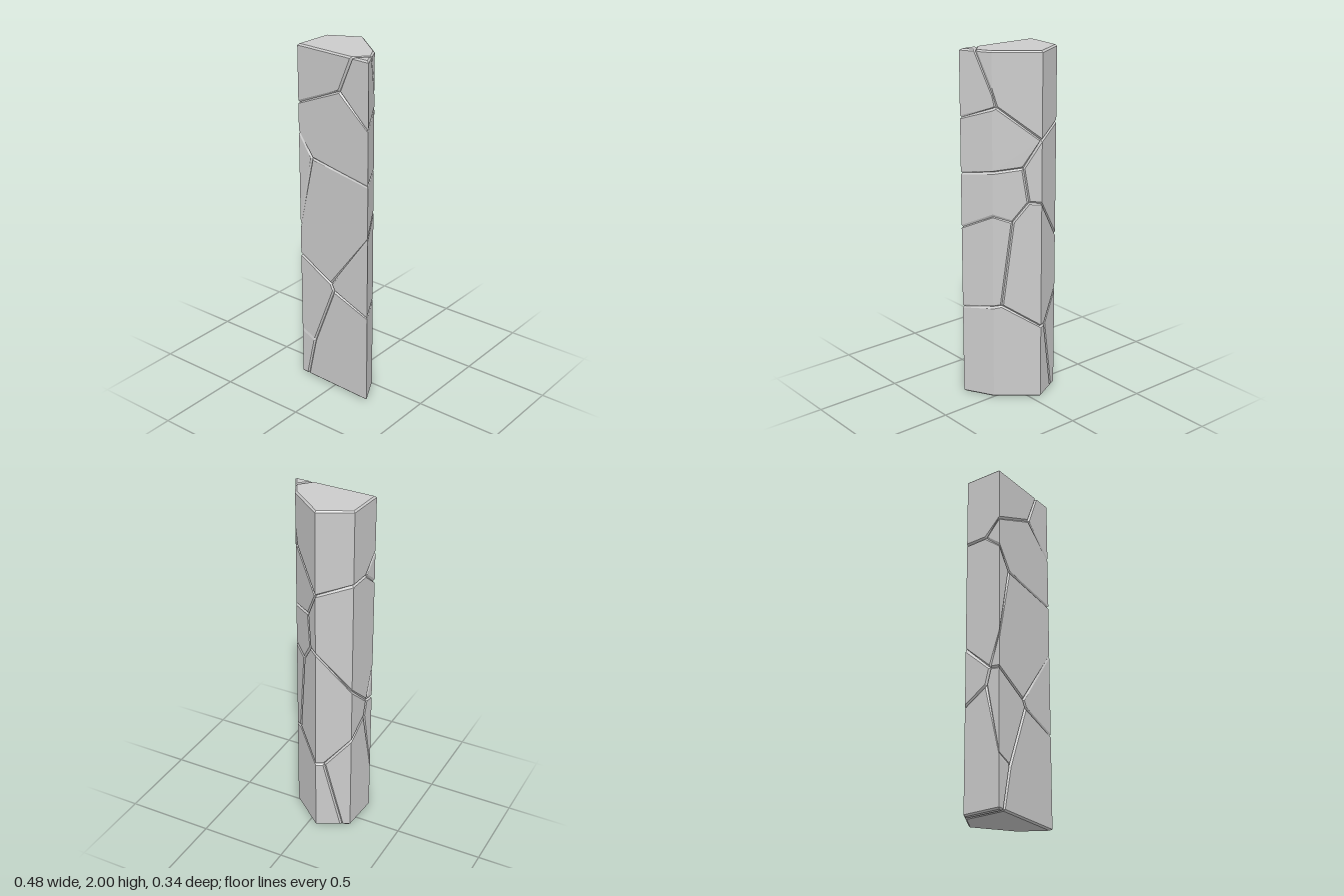
import * as THREE from 'three';
import { ConvexGeometry } from 'three/addons/geometries/ConvexGeometry.js';

const HEIGHT = 2;
const BEVEL = 0.009;

// Footprint corners (x, z) of the five-sided pillar, front-left first.
const CORNERS = [[-0.242, 0.145], [0.242, 0.165], [0.155, 0], [-0.05, -0.17], [-0.228, -0.08]];

// Crack junctions as [s, y]: s is the wall index plus the fraction along that wall.
const P = {
  // top and bottom corners
  a2: [0, 2], b2: [1, 2], c2: [2, 2], d2: [3, 2], e2: [4, 2],
  a0: [0, 0], b0: [1, 0], c0: [2, 0], d0: [3, 0], e0: [4, 0],
  // front wall
  f1: [0.769, 2], f2: [0.593, 1.8], f3: [0.19, 1.38], f4: [0.459, 0.66],
  f5: [0.5, 0.62], f6: [0.2, 0.25], f7: [0.087, 0],
  // side walls
  r1: [1.485, 2], r2: [2.08, 1.7], r3: [2.62, 1.365], r4: [2.735, 1.17], r5: [2.41, 1.06], r6: [2.18, 0.565],
  k1: [3.24, 0.44], k2: [3.76, 0],
  l1: [4.58, 1.583], l2: [4.73, 0.783], l3: [4.62, 0.69],
  // where cracks cross the upright edges
  aa: [0, 1.68], ab: [0, 1.51], ac: [0, 0.96], ad: [0, 0.775], ae: [0, 0.29],
  ba: [1, 1.63], bb: [1, 1.32], bc: [1, 1.01], bd: [1, 0.535],
  ca: [2, 1.78], cb: [2, 1.69], cc: [2, 1.34], cd: [2, 1.095], ce: [2, 0.555],
  da: [3, 1.52], db: [3, 1.167], dc: [3, 0.44],
  ea: [4, 1.58], eb: [4, 0.93], ec: [4, 0.6],
};

// Each broken chunk is the hull of its junctions.
const CHUNKS = {
  topCornerChunk: 'f1 f2 ba b2 r1 ca r2 cb',
  topChunk: 'a2 e2 d2 c2 r1 f1 f2 aa l1 ea da r2 ca',
  upperChunk: 'aa f2 ba cb r2 da r3 cc bb f3 ab l1',
  upperBackChunk: 'da r3 r4 db eb l2 ac f3 ab l1 ea',
  middleFrontChunk: 'f3 bb cc r3 r4 r5 cd bc f4 ad l2 ac',
  middleSideChunk: 'bc cd r5 r6 ce bd f5 f4',
  middleBackChunk: 'r4 r5 r6 dc k1 ec l3 l2 eb db',
  lowerFrontChunk: 'ad f4 f5 f6 ae l3 l2',
  bottomCornerChunk: 'f6 f7 a0 e0 k2 k1 ec l3 ae',
  bottomChunk: 'f7 f6 f5 bd ce r6 dc k1 k2 d0 c0 b0',
};

function position([s, y]) {
  const i = Math.floor(s), f = s - i;
  const p = CORNERS[i], q = CORNERS[(i + 1) % 5];
  return new THREE.Vector3(p[0] + (q[0] - p[0]) * f, y, p[1] + (q[1] - p[1]) * f);
}

// Outer planes: five walls and two caps, each with in-plane axes u, v and an outward normal.
const FACES = CORNERS.map((p, w) => {
  const q = CORNERS[(w + 1) % 5];
  const u = new THREE.Vector3(q[0] - p[0], 0, q[1] - p[1]).normalize();
  return {
    u, v: new THREE.Vector3(0, 1, 0), normal: new THREE.Vector3(-u.z, 0, u.x), wall: true,
    has: ([s]) => (s >= w && s <= w + 1) || (w === 4 && s === 0),
  };
});
for (const y of [0, HEIGHT]) {
  FACES.push({
    u: new THREE.Vector3(1, 0, 0), v: new THREE.Vector3(0, 0, 1),
    normal: new THREE.Vector3(0, y ? 1 : -1, 0), wall: false, has: (p) => p[1] === y,
  });
}

// Inset a chunk's outline on one face, leaving the pillar's upright edges in place.
function insetOutline(face, junctions) {
  const pts = junctions.filter(face.has).map((j) => {
    const pos = position(j);
    return { s: j[0], pos, x: pos.dot(face.u), y: pos.dot(face.v) };
  });
  const n = pts.length;
  if (n < 3) return [];
  const mx = pts.reduce((t, p) => t + p.x, 0) / n;
  const my = pts.reduce((t, p) => t + p.y, 0) / n;
  const angle = (p) => Math.atan2(p.y - my, p.x - mx);
  pts.sort((a, b) => angle(a) - angle(b));
  const edges = pts.map((a, i) => {
    const b = pts[(i + 1) % n];
    const len = Math.hypot(b.x - a.x, b.y - a.y);
    const upright = face.wall && a.s === b.s && Number.isInteger(a.s);
    return { x: -(b.y - a.y) / len, y: (b.x - a.x) / len, g: upright ? 0 : BEVEL };
  });
  return pts.map((p, i) => {
    const e = edges[(i + n - 1) % n], f = edges[i];
    const det = e.x * f.y - e.y * f.x;
    const straight = Math.abs(det) < 0.05;
    const dx = straight ? f.x * f.g : (e.g * f.y - f.g * e.y) / det;
    const dy = straight ? f.y * f.g : (e.x * f.g - f.x * e.g) / det;
    return p.pos.clone().addScaledVector(face.u, dx).addScaledVector(face.v, dy);
  });
}

// Groove floor: the junction sunk below every face it lies on.
function sunk(junction) {
  const p = position(junction);
  for (const face of FACES) if (face.has(junction)) p.addScaledVector(face.normal, -BEVEL);
  return p;
}

export function createModel() {
  const group = new THREE.Group();
  group.name = 'crackedStonePillar';
  const material = new THREE.MeshStandardMaterial({ color: 0xcccccc, flatShading: true });
  for (const [name, ids] of Object.entries(CHUNKS)) {
    const junctions = ids.split(' ').map((id) => P[id]);
    const points = [...FACES.flatMap((face) => insetOutline(face, junctions)), ...junctions.map(sunk)];
    const chunk = new THREE.Mesh(new ConvexGeometry(points), material);
    chunk.name = name;
    group.add(chunk);
  }
  return group;
}
